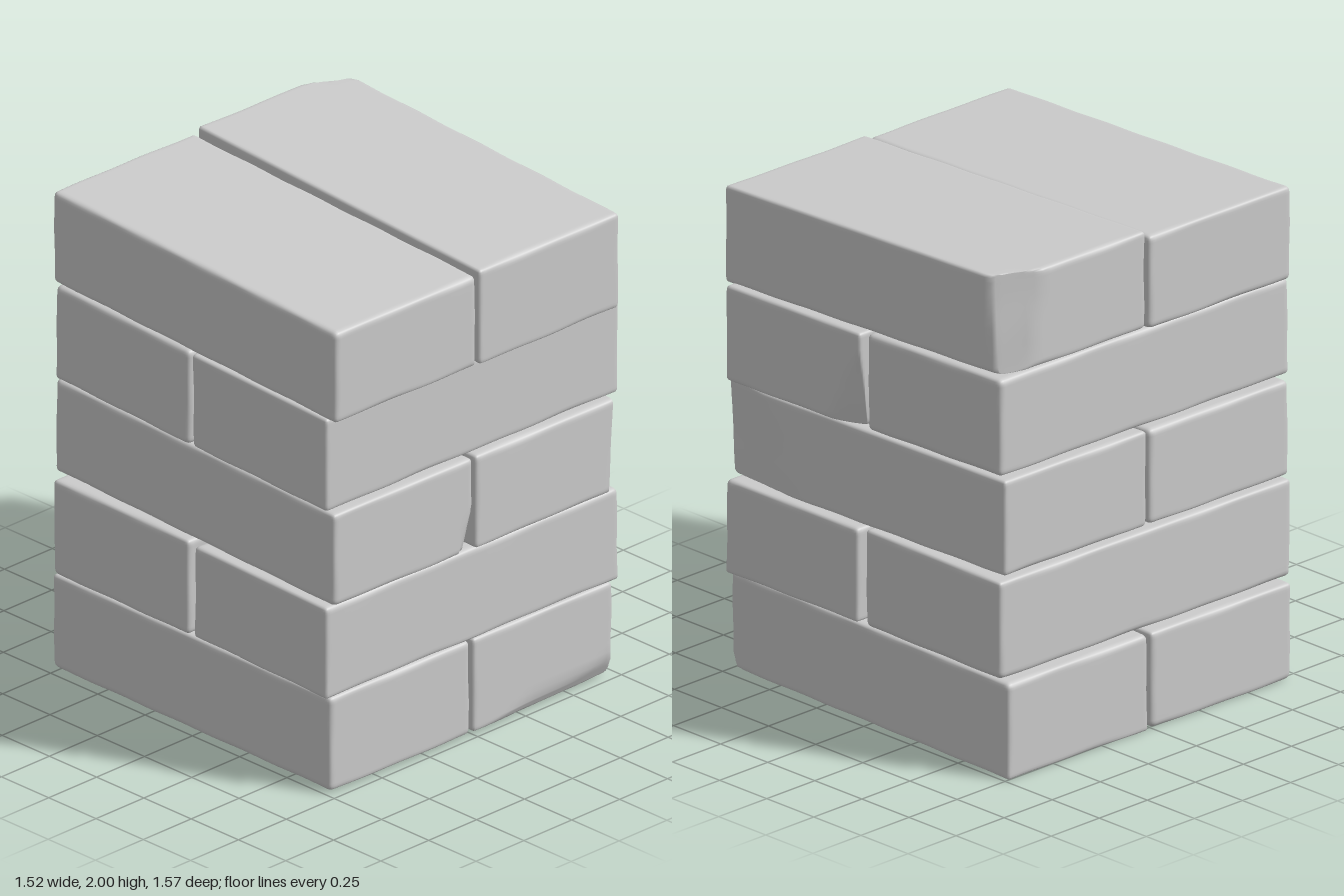
import * as THREE from 'three';
import { mergeVertices } from 'three/addons/utils/BufferGeometryUtils.js';

const material = new THREE.MeshStandardMaterial({ color: 0xcccccc });
const YAW = 0.018; // whole stack is turned very slightly
const BAND = 0.03; // width of the finely divided rim along each edge
const RIM = 3; // divisions in that rim

// Smooth wobble in about -1..1
function wobble(p, seed) {
  return (Math.sin(p.x * 17 + seed * 1.7) + Math.sin(p.y * 23 + seed * 2.9 + p.x * 9)
    + Math.sin(p.z * 19 + seed * 4.1 + p.y * 7)) / 3;
}

// Concentrate grid lines near both ends of an axis
function respace(t, length, n) {
  const i = Math.round((t / length + 0.5) * n);
  const half = length / 2;
  if (i <= RIM) return -half + BAND * i / RIM;
  if (i >= n - RIM) return half - BAND * (n - i) / RIM;
  return THREE.MathUtils.lerp(-half + BAND, half - BAND, (i - RIM) / (n - 2 * RIM));
}

// Worn brick: rounded box with uneven edges, planar chips, tilt and yaw
function makeBrick({ name, x, y, z, slope = 0, chips = [] }, seed) {
  const size = [x[1] - x[0], y[1] - y[0], z[1] - z[0]];
  const centre = new THREE.Vector3((x[0] + x[1]) / 2, (y[0] + y[1]) / 2, (z[0] + z[1]) / 2);
  const n = size.map((s) => Math.round(s / 0.045) + 2 * RIM);
  let geometry = new THREE.BoxGeometry(...size, ...n);
  geometry.deleteAttribute('uv');
  geometry.deleteAttribute('normal');
  const pos = geometry.attributes.position;
  const p = new THREE.Vector3(), inner = new THREE.Vector3(), limit = new THREE.Vector3();
  const planes = chips.map(({ at, normal }) => ({
    at: new THREE.Vector3(...at), normal: new THREE.Vector3(...normal).normalize(),
  }));

  for (let i = 0; i < pos.count; i++) {
    p.fromBufferAttribute(pos, i);
    p.set(respace(p.x, size[0], n[0]), respace(p.y, size[1], n[1]), respace(p.z, size[2], n[2]));
    // rounded edges of varying radius
    const r = 0.018 + 0.009 * wobble(p, seed);
    limit.set(size[0] / 2 - r, size[1] / 2 - r, size[2] / 2 - r);
    inner.copy(p).clamp(limit.clone().negate(), limit);
    p.sub(inner);
    if (p.length() > r) p.setLength(r);
    p.add(inner);
    // chips push everything beyond a plane back onto it
    p.add(centre);
    for (const { at, normal } of planes) {
      const beyond = normal.dot(p.clone().sub(at)) - 0.003 * wobble(p, seed + 5);
      if (beyond > 0) p.addScaledVector(normal, -beyond);
    }
    pos.setXYZ(i, p.x - YAW * p.z, p.y + slope * p.z, p.z + YAW * p.x);
  }
  geometry = mergeVertices(geometry, 1e-5);
  geometry.computeVertexNormals();
  const mesh = new THREE.Mesh(geometry, material);
  mesh.name = name;
  return mesh;
}

const courses = [
  [ // lowest course, bricks running front to back
    { name: 'rightBrick', x: [-0.725, -0.005], y: [0.006, 0.392], z: [-0.77, 0.73], slope: 0.006 },
    { name: 'leftBrick', x: [0.01, 0.725], y: [0.006, 0.392], z: [-0.77, 0.73], slope: 0.006,
      chips: [{ at: [0.3, 0.04, 0.73], normal: [0.05, -0.5, 1] }] },
  ],
  [ // bricks running side to side
    { name: 'frontBrick', x: [-0.745, 0.755], y: [0.41, 0.785], z: [0.018, 0.73], slope: -0.015 },
    { name: 'backBrick', x: [-0.745, 0.745], y: [0.402, 0.792], z: [-0.745, -0.015] },
  ],
  [
    { name: 'rightBrick', x: [-0.725, -0.01], y: [0.798, 1.178], z: [-0.755, 0.75], slope: -0.026,
      chips: [{ at: [-0.015, 0.99, 0.75], normal: [0.4, -0.15, 0.6] }] },
    { name: 'leftBrick', x: [0.004, 0.73], y: [0.798, 1.18], z: [-0.755, 0.75], slope: -0.026,
      chips: [{ at: [0.73, 0.98, 0.42], normal: [1, -0.06, 0.1] }] },
  ],
  [
    { name: 'frontBrick', x: [-0.745, 0.755], y: [1.19, 1.573], z: [0.006, 0.73], slope: -0.027,
      chips: [{ at: [0.755, 1.5, 0.02], normal: [1, -0.17, -0.33] }] },
    { name: 'backBrick', x: [-0.745, 0.735], y: [1.188, 1.575], z: [-0.735, -0.012], slope: -0.034 },
  ],
  [ // top course, tilted towards the front
    { name: 'rightBrick', x: [-0.735, -0.01], y: [1.575, 1.948], z: [-0.755, 0.77], slope: -0.036 },
    { name: 'leftBrick', x: [0.004, 0.72], y: [1.578, 1.967], z: [-0.75, 0.77], slope: -0.044,
      chips: [{ at: [0.55, 1.8, -0.75], normal: [0.45, 0.08, -0.9] }] },
  ],
];

export function createModel() {
  const model = new THREE.Group();
  model.name = 'brickPillar';
  courses.forEach((bricks, row) => {
    const course = new THREE.Group();
    course.name = `course${row + 1}`;
    bricks.forEach((brick, i) => course.add(makeBrick(brick, row * 2 + i + 1)));
    model.add(course);
  });
  return model;
}
